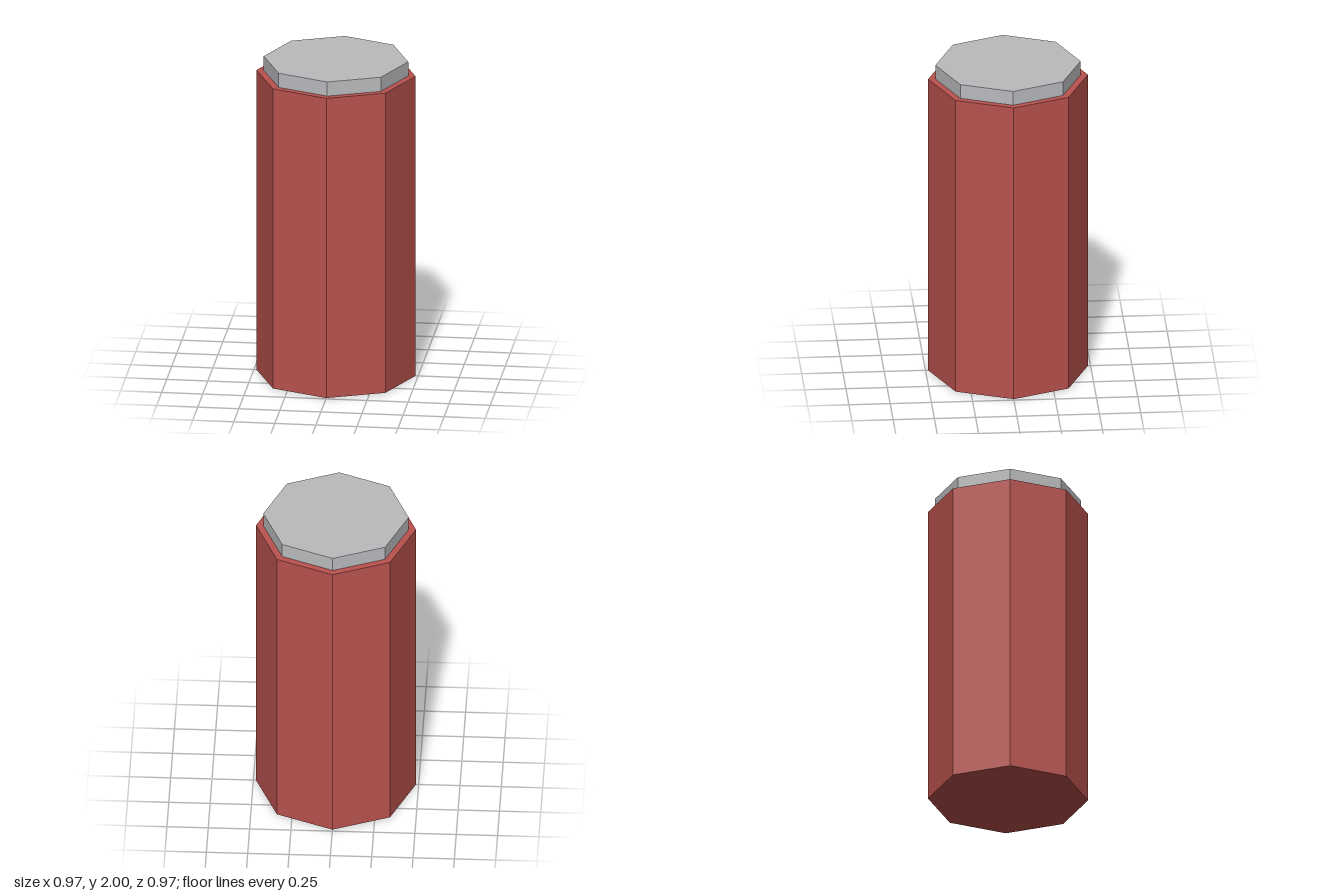
import * as THREE from 'three';

const SIDES = 8;

// Upright octagonal prism with corners on the x and z axes
function prism(name, radius, bottom, top, material) {
  const geometry = new THREE.CylinderGeometry(radius, radius, top - bottom, SIDES).toNonIndexed();
  geometry.computeVertexNormals(); // flat facets
  const mesh = new THREE.Mesh(geometry, material);
  mesh.name = name;
  mesh.position.y = (bottom + top) / 2;
  return mesh;
}

export function createModel() {
  const red = new THREE.MeshStandardMaterial({ color: 0xb9524e });
  red.name = 'red';
  const grey = new THREE.MeshStandardMaterial({ color: 0xbabbbe });
  grey.name = 'light grey';

  const model = new THREE.Group();
  model.name = 'canister';
  model.add(
    prism('body', 0.484, 0, 1.91, red), // tall red body
    prism('lid', 0.44, 1.91, 2, grey), // thin inset lid
  );
  return model;
}
